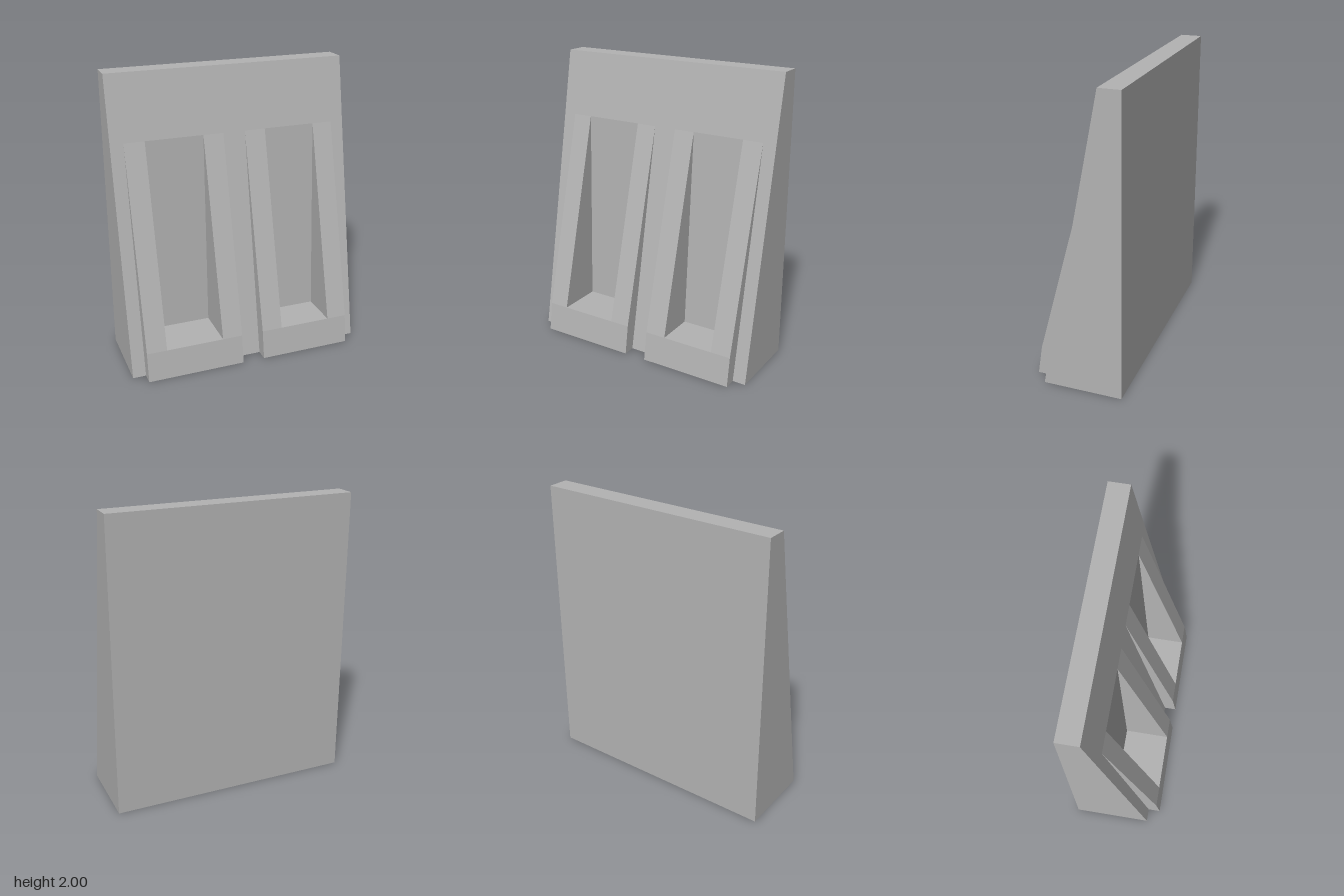
import * as THREE from 'three';

// Side profiles as [z, y], from the back foot round to the back top
const top = [[-0.08, 1.56], [-0.165, 2], [-0.31, 2]];
const wallProfile = [[-0.31, 0], [0.225, 0], ...top];
const pilasterProfile = [[-0.31, 0], [0.31, 0], [0.28, 0.2], ...top];
const nicheProfile = (backZ) => [[-0.31, 0], [0.31, 0], [0.28, 0.2], [backZ, 0.2], ...top];

export function createModel() {
  const group = new THREE.Group();
  const stone = new THREE.MeshStandardMaterial({ color: 0xb3b3b3 });
  stone.name = 'grey stone';

  // Extrude a side profile across the width from x0 to x1
  function slab(name, profile, x0, x1) {
    const shape = new THREE.Shape(profile.map(([z, y]) => new THREE.Vector2(z, y)));
    const geometry = new THREE.ExtrudeGeometry(shape, { depth: x1 - x0, bevelEnabled: false });
    geometry.rotateY(-Math.PI / 2).translate(x1, 0, 0);
    const mesh = new THREE.Mesh(geometry, stone);
    mesh.name = name;
    group.add(mesh);
  }

  // Sloping wall between and beside the pilasters
  slab('rightWall', wallProfile, -0.83, -0.74);
  slab('middleWall', wallProfile, -0.06, 0.095);
  slab('leftWall', wallProfile, 0.74, 0.83);

  // Raised pilasters, each with a niche sunk between two jambs
  const pilasters = [
    { side: 'right', x: [-0.74, -0.6, -0.2, -0.06], backZ: -0.035 },
    { side: 'left', x: [0.095, 0.24, 0.6, 0.74], backZ: 0.005 },
  ];
  for (const { side, x, backZ } of pilasters) {
    slab(`${side}PilasterOuterJamb`, pilasterProfile, x[0], x[1]);
    slab(`${side}PilasterNiche`, nicheProfile(backZ), x[1], x[2]);
    slab(`${side}PilasterInnerJamb`, pilasterProfile, x[2], x[3]);
  }
  return group;
}
